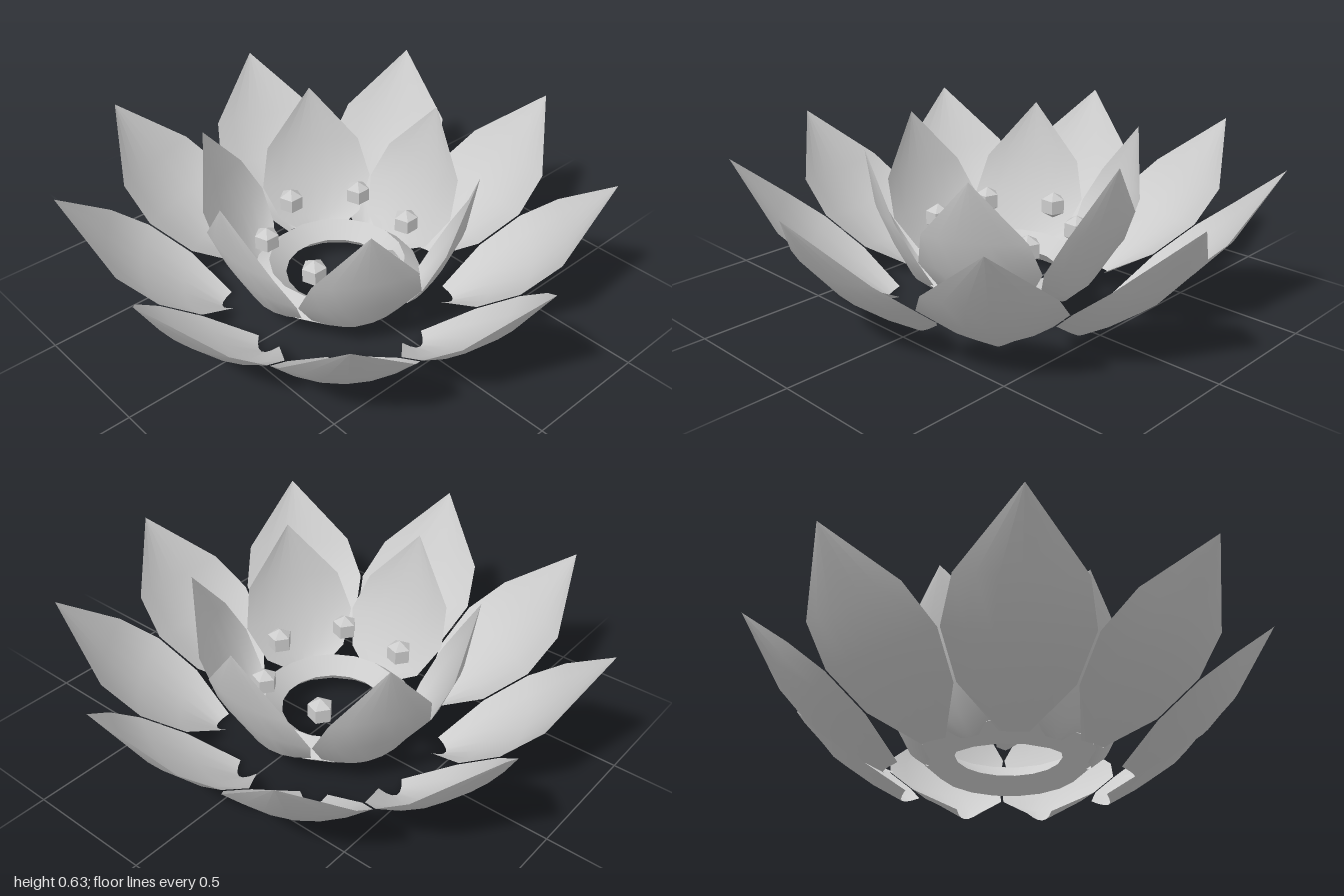
import * as THREE from 'three';

const petalMaterial = new THREE.MeshStandardMaterial({ color: 0xcccccc, side: THREE.DoubleSide });
petalMaterial.name = 'pale grey';

// Each row: [edge radius, edge half-width, edge height, middle radius, middle height]
const OUTER_ROWS = [
  [0.415, 0.05, 0.02, 0.46, 0.0],
  [0.55, 0.195, 0.13, 0.6, 0.09],
  [0.7, 0.25, 0.25, 0.745, 0.2],
  [0.835, 0.215, 0.365, 0.865, 0.34],
  [1.013, 0, 0.58, 1.013, 0.58],
];
const INNER_ROWS = [
  [0.28, 0.045, 0.075, 0.305, 0.06],
  [0.325, 0.165, 0.14, 0.37, 0.12],
  [0.395, 0.225, 0.265, 0.435, 0.25],
  [0.465, 0.19, 0.405, 0.495, 0.4],
  [0.53, 0, 0.63, 0.53, 0.63],
];

// Cupped petal pointing along +x, lofted through curved rows up to its tip
function petalGeometry(rows, columns = 6) {
  const positions = [];
  const indices = [];
  for (const [edgeR, halfWidth, edgeY, midR, midY] of rows) {
    for (let j = 0; j <= columns; j++) {
      const s = (2 * j) / columns - 1;
      const cup = s * s;
      positions.push(midR + (edgeR - midR) * cup, midY + (edgeY - midY) * cup, s * halfWidth);
    }
  }
  const stride = columns + 1;
  for (let i = 0; i < rows.length - 1; i++) {
    for (let j = 0; j < columns; j++) {
      const a = i * stride + j;
      const b = a + stride;
      indices.push(a, a + 1, b + 1);
      if (i < rows.length - 2) indices.push(a, b + 1, b);
      else if (j === 0) indices.push(a, b + 1, b);
    }
  }
  const geometry = new THREE.BufferGeometry();
  geometry.setAttribute('position', new THREE.Float32BufferAttribute(positions, 3));
  geometry.setIndex(indices);
  geometry.computeVertexNormals();
  return geometry;
}

function petalRing(name, rows, count, startAngle) {
  const ring = new THREE.Group();
  ring.name = name + 's';
  const geometry = petalGeometry(rows);
  for (let i = 0; i < count; i++) {
    const petal = new THREE.Mesh(geometry, petalMaterial);
    petal.name = name;
    petal.rotation.y = -(startAngle + (i * Math.PI * 2) / count);
    ring.add(petal);
  }
  return ring;
}

export function createModel() {
  const model = new THREE.Group();
  model.name = 'flower';
  const flower = new THREE.Group();
  flower.name = 'blossom';
  flower.position.x = -0.035;
  model.add(flower);

  // Two rings of petals
  flower.add(petalRing('outerPetal', OUTER_ROWS, 9, 0));
  flower.add(petalRing('innerPetal', INNER_ROWS, 6, Math.PI / 6));

  // Centre ring with a diamond cross-section and sharp ridges
  const profile = [[0.33, 0.1], [0.265, 0.16], [0.2, 0.1], [0.265, 0.04]];
  const centre = new THREE.Group();
  centre.name = 'centreRing';
  profile.forEach(([r, y], i) => {
    const [r2, y2] = profile[(i + 1) % profile.length];
    const band = new THREE.LatheGeometry([new THREE.Vector2(r, y), new THREE.Vector2(r2, y2)], 18);
    const mesh = new THREE.Mesh(band, petalMaterial);
    mesh.name = 'ringFace';
    centre.add(mesh);
  });
  flower.add(centre);

  // Six faceted stamen tips floating above the ring
  const facetMaterial = new THREE.MeshStandardMaterial({ color: 0xcccccc, flatShading: true });
  facetMaterial.name = 'pale grey faceted';
  const tipGeometry = new THREE.SphereGeometry(0.054, 5, 3);
  for (let i = 0; i < 6; i++) {
    const a = (i * Math.PI) / 3;
    const tip = new THREE.Mesh(tipGeometry, facetMaterial);
    tip.name = 'stamenTip';
    tip.position.set(0.272 * Math.cos(a), 0.29, 0.272 * Math.sin(a));
    flower.add(tip);
  }
  return model;
}
